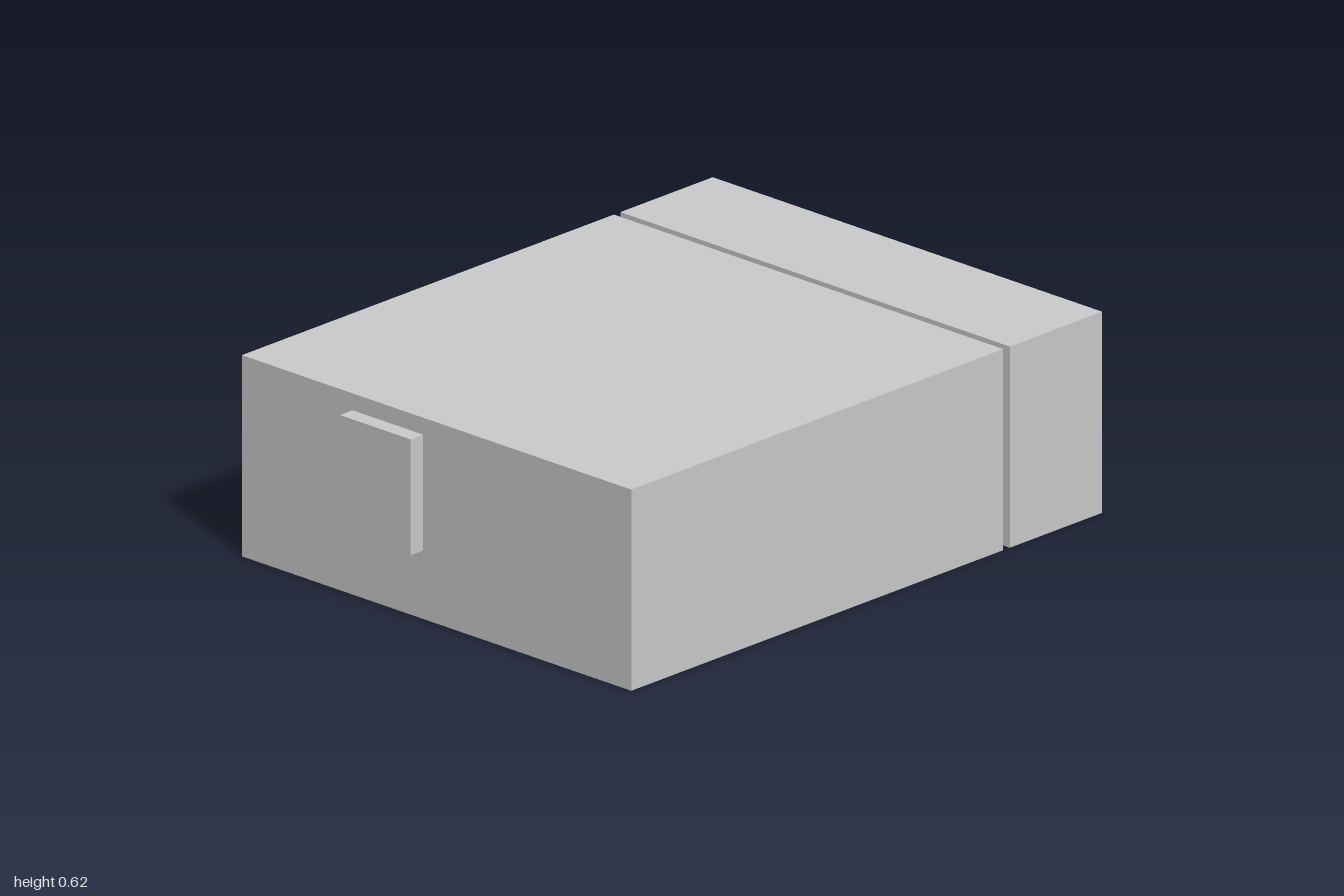
import * as THREE from 'three';

const material = new THREE.MeshStandardMaterial({ color: 0xcccccc, flatShading: true });

// Box given by its extent along each axis
function block(name, [x0, x1], [y0, y1], [z0, z1]) {
  const mesh = new THREE.Mesh(new THREE.BoxGeometry(x1 - x0, y1 - y0, z1 - z0), material);
  mesh.position.set((x0 + x1) / 2, (y0 + y1) / 2, (z0 + z1) / 2);
  mesh.name = name;
  return mesh;
}

export function createModel() {
  const group = new THREE.Group();
  group.name = 'splitBlock';
  const width = [-0.77, 0.77];
  const height = [0, 0.617];
  const gap = [-0.618, -0.591];
  const frontZ = 0.948;

  group.add(
    block('mainBody', width, height, [gap[1], frontZ]),
    block('rearSection', width, height, [-1, gap[0]]),
    // Small piece bridging the slot, flush with the underside
    block('connector', [-0.46, -0.26], [0, 0.518], gap),
    // Raised plate on the front
    block('frontPanel', [-0.333, -0.053], [0.21, 0.565], [frontZ, 1]),
  );
  return group;
}
